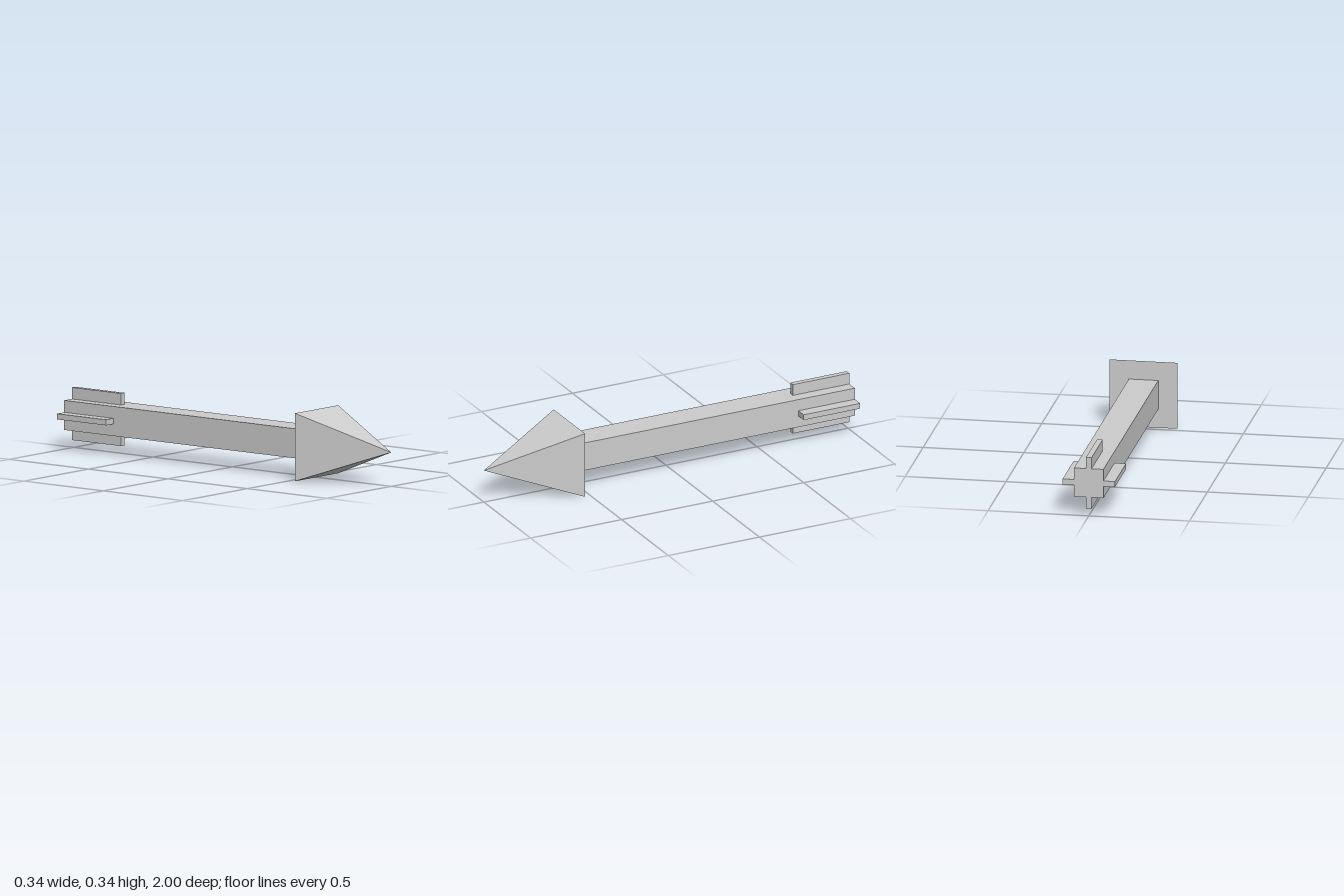
import * as THREE from 'three';

export function createModel() {
  const model = new THREE.Group();
  model.name = 'arrow';
  const grey = new THREE.MeshStandardMaterial({ color: 0xcccccc });
  grey.name = 'light grey';

  const HALF_HEAD = 0.168, HALF_SHAFT = 0.073, FIN_REACH = 0.13, FIN_THICK = 0.028;
  const HEAD_Z = 0.53, FIN_Z = -0.69;

  const arrow = new THREE.Group();
  arrow.name = 'arrowBody';
  arrow.position.y = HALF_HEAD;
  model.add(arrow);

  function add(name, geometry, parent = arrow) {
    const mesh = new THREE.Mesh(geometry, grey);
    mesh.name = name;
    parent.add(mesh);
    return mesh;
  }

  // Head: square pyramid pointing forward, with flat faces
  const headLength = 1 - HEAD_Z;
  const head = new THREE.ConeGeometry(HALF_HEAD * Math.SQRT2, headLength, 4)
    .rotateY(Math.PI / 4)
    .rotateX(Math.PI / 2)
    .translate(0, 0, HEAD_Z + headLength / 2)
    .toNonIndexed();
  head.computeVertexNormals();
  add('head', head);

  // Shaft: square bar from the tail to the head
  const shaftLength = HEAD_Z + 1;
  add('shaft', new THREE.BoxGeometry(HALF_SHAFT * 2, HALF_SHAFT * 2, shaftLength)
    .translate(0, 0, HEAD_Z - shaftLength / 2));

  // Fins: one on each side of the shaft at the tail
  const fins = new THREE.Group();
  fins.name = 'fins';
  arrow.add(fins);
  const finHeight = FIN_REACH - HALF_SHAFT, finLength = FIN_Z + 1;
  const fin = new THREE.BoxGeometry(FIN_THICK, finHeight, finLength)
    .translate(0, HALF_SHAFT + finHeight / 2, -1 + finLength / 2);
  ['topFin', 'leftFin', 'bottomFin', 'rightFin'].forEach((name, i) => {
    add(name, fin, fins).rotation.z = -i * Math.PI / 2;
  });

  return model;
}
